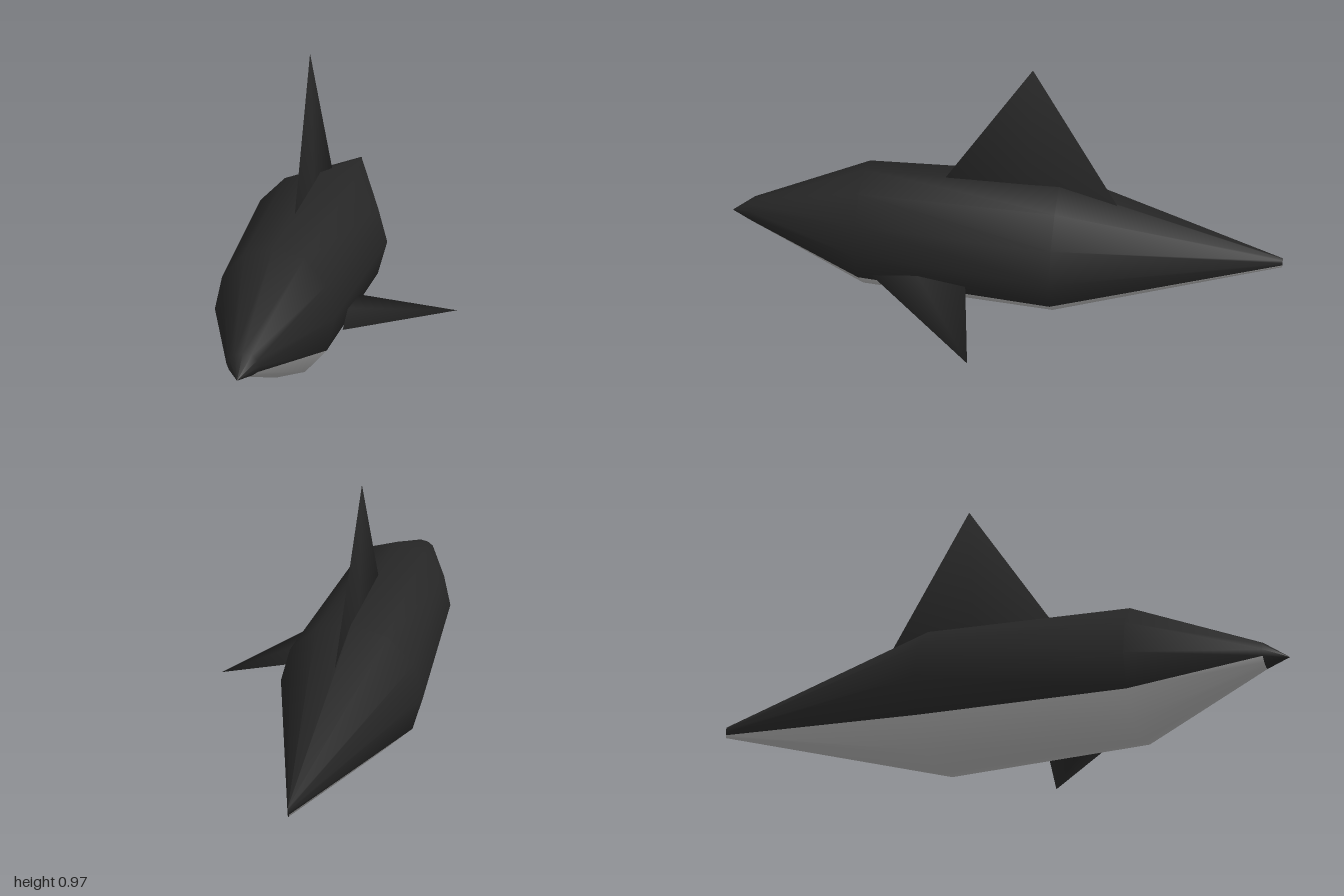
import * as THREE from 'three';

const CX = -0.147, SIDES = 12;

// Smooth-shaded mesh from points and triangles, with optional material groups
function build(name, points, tris, material) {
  const g = new THREE.BufferGeometry();
  g.setAttribute('position', new THREE.Float32BufferAttribute(points.flat(), 3));
  g.setIndex(tris.flat());
  g.computeVertexNormals();
  const m = new THREE.Mesh(g, material);
  m.name = name;
  return m;
}

// Thin triangular fin: root from front to back, tapering to a tip, bulging at mid-root
function fin(name, front, back, tip, bulge, material) {
  const mid = front.map((v, i) => (v + back[i]) / 2);
  const p = [front, back, tip, mid.map((v, i) => v + bulge[i]), mid.map((v, i) => v - bulge[i])];
  return build(name, p, [[0, 3, 2], [3, 1, 2], [4, 0, 2], [1, 4, 2], [0, 4, 3], [4, 1, 3]], material);
}

export function createModel() {
  const dark = new THREE.MeshStandardMaterial({ color: 0x262626 });
  dark.name = 'charcoal back';
  dark.side = THREE.DoubleSide;
  const pale = new THREE.MeshStandardMaterial({ color: 0xb0b0b0 });
  pale.name = 'pale belly';

  const group = new THREE.Group();
  group.name = 'finnedBody';

  // Body cross-sections, nose to tail: z, centre y, half width, half height
  const rings = [
    [1, 0.25, 0, 0],
    [0.92, 0.266, 0.054, 0.04],
    [0.5, 0.254, 0.203, 0.234],
    [-0.2, 0.25, 0.25, 0.25],
    [-1, 0.254, 0.003, 0.02],
  ];
  const points = [];
  for (const [z, y, rx, ry] of rings) {
    for (let i = 0; i < SIDES; i++) {
      const a = (i / SIDES) * Math.PI * 2;
      points.push([CX + rx * Math.cos(a), y + ry * Math.sin(a), z]);
    }
  }

  // Side panels: the four lowest strips behind the nose are the belly
  const back = [], belly = [];
  for (let r = 0; r < rings.length - 1; r++) {
    for (let i = 0; i < SIDES; i++) {
      const j = (i + 1) % SIDES;
      const a = r * SIDES + i, b = r * SIDES + j, c = a + SIDES, d = b + SIDES;
      const list = r > 0 && i >= 7 && i <= 10 ? belly : back;
      if (r > 0) list.push([a, c, b]);
      list.push([b, c, d]);
    }
  }
  // Tail cap
  const last = (rings.length - 1) * SIDES;
  for (let i = 1; i < SIDES - 1; i++) back.push([last, last + i + 1, last + i]);

  const body = build('body', points, [...back, ...belly], [dark, pale]);
  body.geometry.addGroup(0, back.length * 3, 0);
  body.geometry.addGroup(back.length * 3, belly.length * 3, 1);
  group.add(body);

  // Upright back fin
  group.add(fin('dorsalFin', [-0.141, 0.4, 0.264], [-0.141, 0.4, -0.43],
    [-0.154, 0.97, -0.1], [0.003, 0, 0], dark));

  // Single side fin on the model's left
  group.add(fin('leftFin', [0.07, 0.188, 0.44], [0.035, 0.175, 0.108],
    [0.395, 0.112, 0.04], [0.002, 0.012, 0], dark));

  return group;
}
